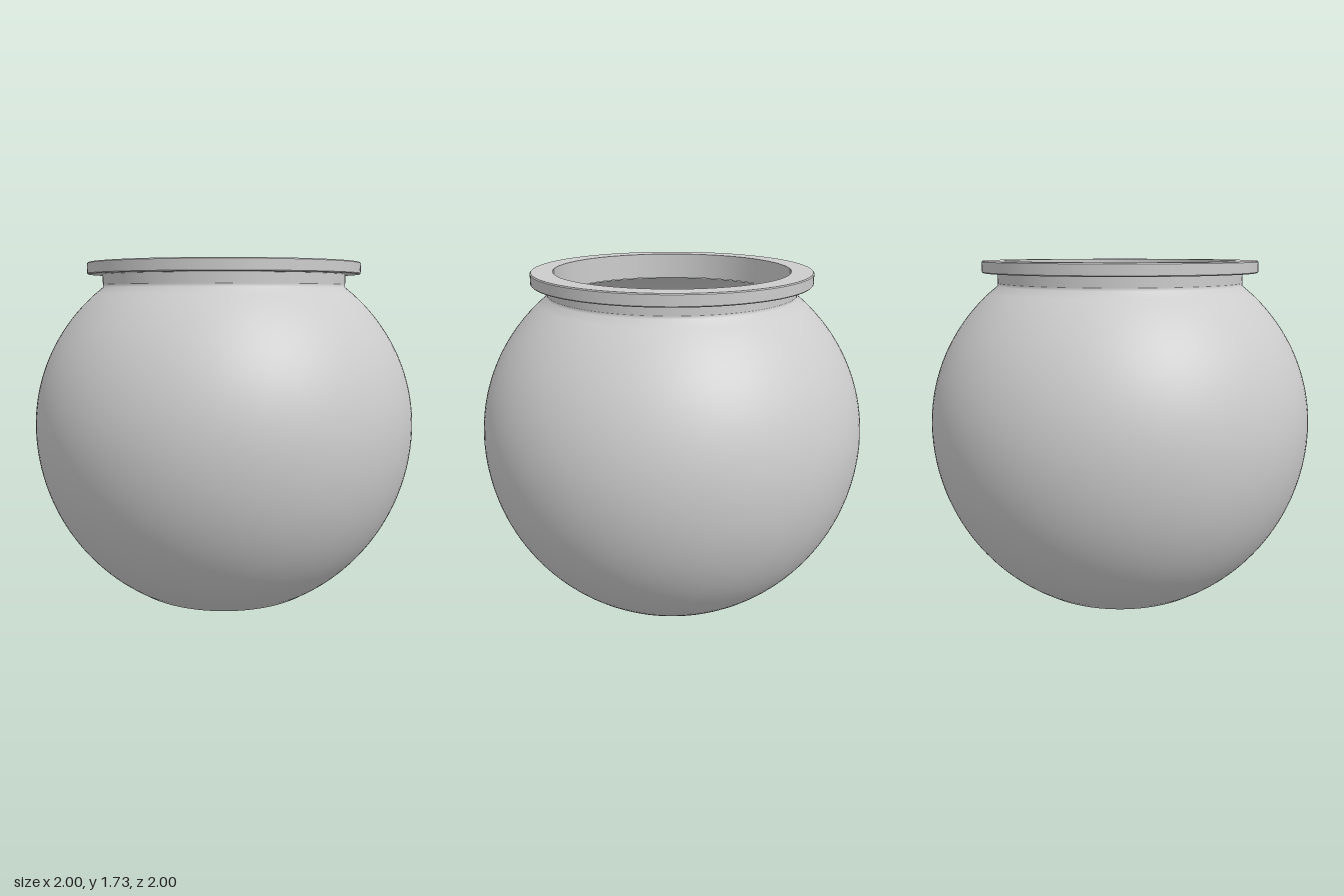
import * as THREE from 'three';

const SEGMENTS = 128;
const CENTRE_Y = 0.87;

// Points up the bowl's curve between two heights; inset gives the inner wall
function bowlCurve(y0, y1, inset, steps = 48) {
  const points = [];
  for (let i = 0; i <= steps; i++) {
    const y = y0 + (y1 - y0) * i / steps;
    const dy = y - CENTRE_Y;
    const t = dy / ((dy > 0 ? 0.945 : 1.01) - inset);
    points.push([(1 - inset) * Math.sqrt(1 - t * t), y]);
  }
  return points;
}

export function createModel() {
  const grey = new THREE.MeshStandardMaterial({ color: 0xcccccc });
  grey.name = 'plain grey';
  const model = new THREE.Group();
  model.name = 'roundJar';

  function turned(name, profile, parent) {
    const points = profile.map(([r, y]) => new THREE.Vector2(r, y));
    const mesh = new THREE.Mesh(new THREE.LatheGeometry(points, SEGMENTS), grey);
    mesh.name = name;
    parent.add(mesh);
  }

  // Bowl: outside with a flat, softly rounded base
  turned('bowlOutside', [
    [0, 0], [0.48, 0], [0.505, 0.002], [0.523, 0.008],
    ...bowlCurve(0.02, 1.6, 0), [0.635, 1.615],
  ], model);

  // Bowl: hollow inside, running from the neck down to the floor
  turned('bowlInside', [
    ...bowlCurve(0.045, 1.59, 0.035).reverse(),
    [0.48, 0.035], [0.46, 0.03], [0, 0.03],
  ], model);

  // Neck: short straight collar, open through the middle
  turned('neckOutside', [[0.635, 1.6], [0.635, 1.665]], model);
  turned('neckInside', [[0.6, 1.725], [0.6, 1.59]], model);

  // Rim: flat ring with crisp faces and tiny eased edges
  const rim = new THREE.Group();
  rim.name = 'rim';
  model.add(rim);
  turned('rimUnderside', [[0.635, 1.665], [0.707, 1.665]], rim);
  turned('rimLowerEdge', [[0.707, 1.665], [0.712, 1.67]], rim);
  turned('rimSide', [[0.712, 1.67], [0.712, 1.72]], rim);
  turned('rimUpperEdge', [[0.712, 1.72], [0.707, 1.725]], rim);
  turned('rimTop', [[0.707, 1.725], [0.6, 1.725]], rim);

  return model;
}
